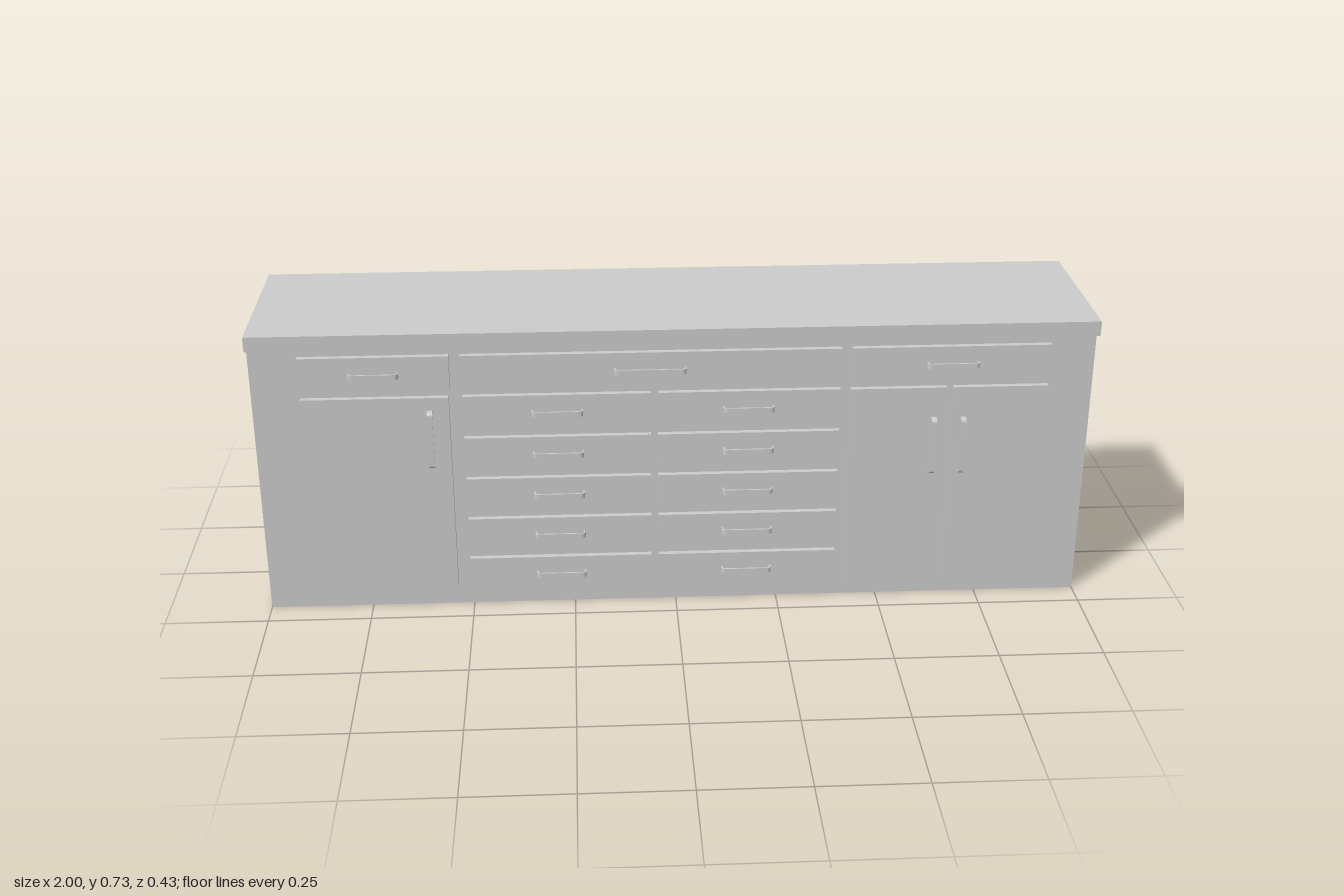
import * as THREE from 'three';

const material = new THREE.MeshStandardMaterial({ color: 0xcccccc, flatShading: true, side: THREE.DoubleSide });

const HEIGHT = 0.73, BACK = -0.213, FACE = 0.183, DOOR = 0.197, LIP = 0.214;

function add(parent, name, geometry) {
  const mesh = new THREE.Mesh(geometry, material);
  mesh.name = name;
  parent.add(mesh);
  return mesh;
}

// Box given by its limits on each axis
function box(parent, name, x0, x1, y0, y1, z0, z1) {
  const mesh = add(parent, name, new THREE.BoxGeometry(x1 - x0, y1 - y0, z1 - z0));
  mesh.position.set((x0 + x1) / 2, (y0 + y1) / 2, (z0 + z1) / 2);
  return mesh;
}

// Bow handle: a flat strip bent into a U with rounded corners, lying along x
function handleGeometry(length) {
  const a = length / 2, d = LIP - DOOR, t = 0.004, r = 0.01, q = r - t;
  const s = new THREE.Shape();
  s.moveTo(-a, 0);
  s.lineTo(-a, d - r);
  s.quadraticCurveTo(-a, d, -a + r, d);
  s.lineTo(a - r, d);
  s.quadraticCurveTo(a, d, a, d - r);
  s.lineTo(a, 0);
  s.lineTo(a - t, 0);
  s.lineTo(a - t, d - r);
  s.quadraticCurveTo(a - t, d - t, a - t - q, d - t);
  s.lineTo(-a + t + q, d - t);
  s.quadraticCurveTo(-a + t, d - t, -a + t, d - r);
  s.lineTo(-a + t, 0);
  s.closePath();
  const width = 0.013;
  const g = new THREE.ExtrudeGeometry(s, { depth: width, bevelEnabled: false, curveSegments: 4 });
  g.translate(0, 0, -width / 2);
  g.rotateX(Math.PI / 2); // bow points to +z
  return g;
}

function handle(parent, x, y, length, vertical = false) {
  const mesh = add(parent, 'handle', handleGeometry(length));
  mesh.position.set(x, y, DOOR);
  if (vertical) mesh.rotation.z = Math.PI / 2;
}

function drawer(parent, x0, x1, y0, y1, handleX, handleLength) {
  const g = new THREE.Group();
  g.name = 'drawer';
  box(g, 'drawerFront', x0, x1, y0, y1, FACE, DOOR);
  handle(g, handleX, (y0 + y1) / 2 - 0.002, handleLength);
  parent.add(g);
}

function door(parent, x0, x1, handleX, handleY) {
  const g = new THREE.Group();
  g.name = 'door';
  box(g, 'doorPanel', x0, x1, 0.046, 0.562, FACE, DOOR);
  handle(g, handleX, handleY, 0.145, true);
  parent.add(g);
}

export function createModel() {
  const model = new THREE.Group();
  model.name = 'sideboard';

  // Carcass of thin sheets, open at the back and underneath
  const front = add(model, 'frontPanel', new THREE.PlaneGeometry(2, HEIGHT));
  front.position.set(0, HEIGHT / 2, FACE);
  for (const side of [-1, 1]) {
    const panel = add(model, 'sidePanel', new THREE.PlaneGeometry(FACE - BACK, HEIGHT));
    panel.rotation.y = side * Math.PI / 2;
    panel.position.set(side, HEIGHT / 2, (FACE + BACK) / 2);
  }
  const top = add(model, 'worktop', new THREE.PlaneGeometry(2, FACE - BACK));
  top.rotation.x = -Math.PI / 2;
  top.position.set(0, HEIGHT, (FACE + BACK) / 2);

  // Overhanging front edge of the worktop
  box(model, 'worktopLip', -1, 1, 0.694, HEIGHT, FACE, LIP);

  // Top row of drawers
  drawer(model, -0.885, -0.533, 0.583, 0.667, -0.71, 0.118);
  drawer(model, -0.507, 0.393, 0.583, 0.667, -0.061, 0.17);
  drawer(model, 0.417, 0.893, 0.583, 0.667, 0.657, 0.125);

  // Two columns of small drawers
  for (let row = 0; row < 5; row++) {
    const y = 0.047 + row * 0.1083;
    drawer(model, -0.505, -0.06, y, y + 0.083, -0.282, 0.122);
    drawer(model, -0.043, 0.393, y, y + 0.083, 0.173, 0.122);
  }

  // Doors
  door(model, -0.885, -0.537, -0.583, 0.457);
  door(model, 0.417, 0.648, 0.619, 0.413);
  door(model, 0.663, 0.891, 0.69, 0.413);

  return model;
}
